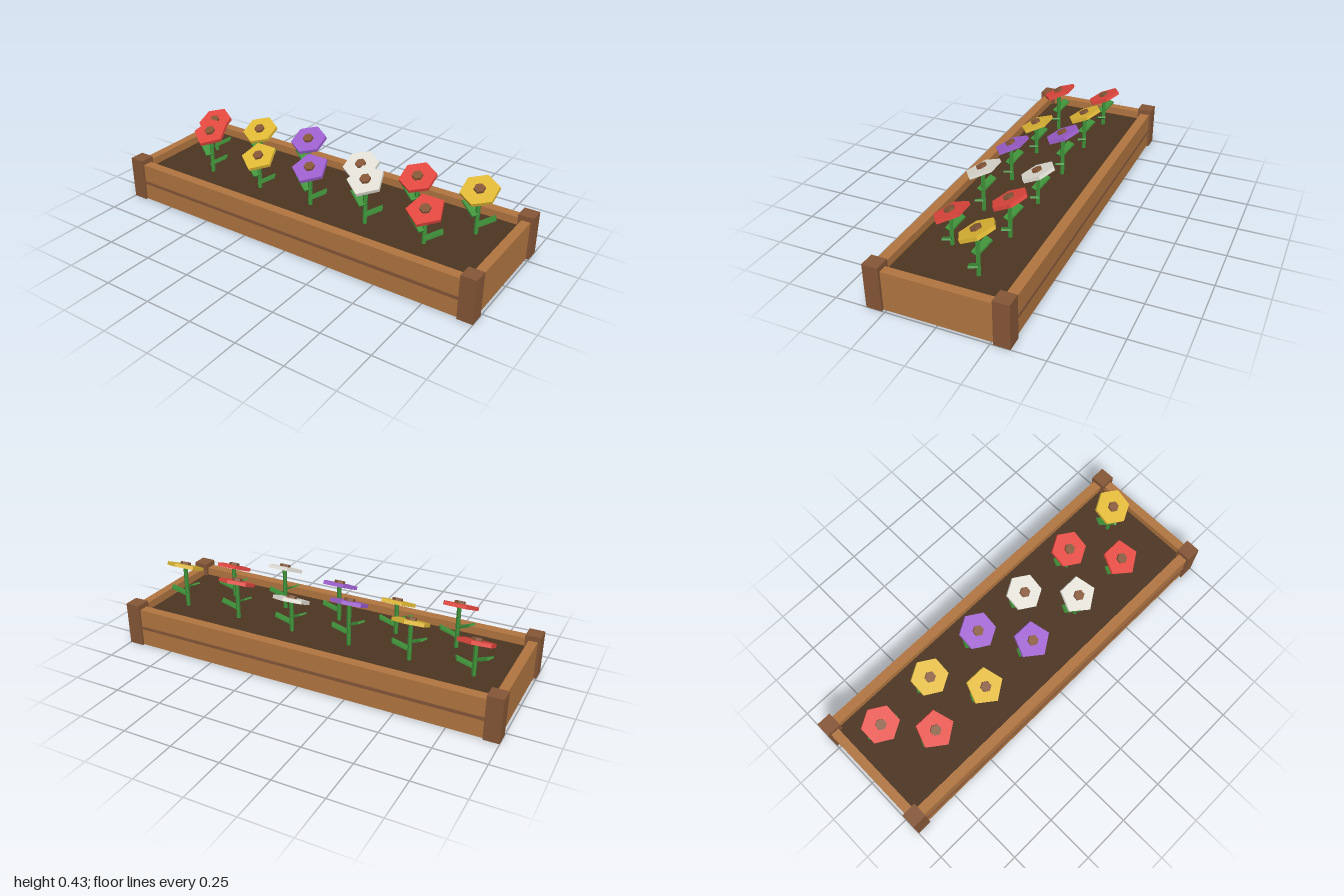
import * as THREE from 'three';

const mat = (name, color) => {
  const m = new THREE.MeshStandardMaterial({ color, flatShading: true });
  m.name = name;
  return m;
};

export function createModel() {
  const wood = mat('plankWood', 0xb17540);
  const darkWood = mat('darkWood', 0x855637);
  const soil = mat('soil', 0x4c3421);
  const green = mat('leafGreen', 0x40923a);
  const red = mat('redPetal', 0xe2473e);
  const yellow = mat('yellowPetal', 0xe0b834);
  const purple = mat('purplePetal', 0x9d5fce);
  const white = mat('whitePetal', 0xe2dfd6);

  const model = new THREE.Group();
  model.name = 'flowerPlanter';

  const add = (parent, name, geometry, material, x, y, z) => {
    const mesh = new THREE.Mesh(geometry, material);
    mesh.name = name;
    mesh.position.set(x, y, z);
    parent.add(mesh);
    return mesh;
  };
  const box = (name, material, w, h, d, x, y, z) =>
    add(model, name, new THREE.BoxGeometry(w, h, d), material, x, y, z);

  // Base and earth filling
  box('base', wood, 1.97, 0.03, 0.66, 0, 0.015, 0);
  box('soil', soil, 1.9, 0.128, 0.57, 0, 0.094, 0);

  // Walls: two planks with a dark seam front and back, one board at each end
  for (const s of [-1, 1]) {
    for (const y of [0.0475, 0.1515]) {
      box('longPlank', wood, 1.9, 0.095, 0.05, 0, y, s * 0.305);
    }
    box('plankSeam', darkWood, 1.86, 0.015, 0.056, 0, 0.1, s * 0.308);
    box('endBoard', wood, 0.045, 0.199, 0.6, s * 0.9635, 0.0995, 0);
    for (const t of [-1, 1]) {
      box('cornerPost', darkWood, 0.077, 0.225, 0.078, s * 0.9615, 0.1125, t * 0.303);
    }
  }

  // One flower: stem, two broad leaves, tilted blossom with a raised centre
  const stemBase = 0.15;
  const leafGeometry = new THREE.BoxGeometry(0.095, 0.009, 0.042);
  const centreGeometry = new THREE.CylinderGeometry(0.027, 0.027, 0.03, 6);
  function addFlower(x, z, height, sides, petalMaterial) {
    const flower = new THREE.Group();
    flower.name = 'flower';
    flower.position.set(x, 0, z);
    model.add(flower);

    const stemLength = height - stemBase;
    add(flower, 'stem', new THREE.CylinderGeometry(0.011, 0.011, stemLength, 6),
      green, 0, stemBase + stemLength / 2, 0);

    for (const [side, fraction, reach] of [[1, 0.37, 0.045], [-1, 0.57, 0.037]]) {
      const leaf = add(flower, 'leaf', leafGeometry, green,
        side * reach, stemBase + fraction * stemLength, 0);
      leaf.rotation.set(0, side * 0.45, side * 0.5);
    }

    const blossom = new THREE.Group();
    blossom.name = 'blossom';
    blossom.position.y = height;
    blossom.rotation.x = 0.44;
    flower.add(blossom);
    add(blossom, 'petals', new THREE.CylinderGeometry(0.092, 0.092, 0.018, sides),
      petalMaterial, 0, 0, 0);
    add(blossom, 'blossomCentre', centreGeometry, darkWood, 0, 0.007, 0);
  }

  // Two staggered rows with stepped heights
  const heights = [0.329, 0.356, 0.383];
  const colours = [red, yellow, purple, white];
  for (let i = 0; i < 6; i++) {
    addFlower(-0.79 + i * 0.316, -0.099, heights[i % 3], 6, colours[i % 4]);
  }
  for (let i = 0; i < 5; i++) {
    addFlower(-0.632 + i * 0.316, 0.113, heights[(i + 2) % 3], 5, colours[i % 4]);
  }

  return model;
}
